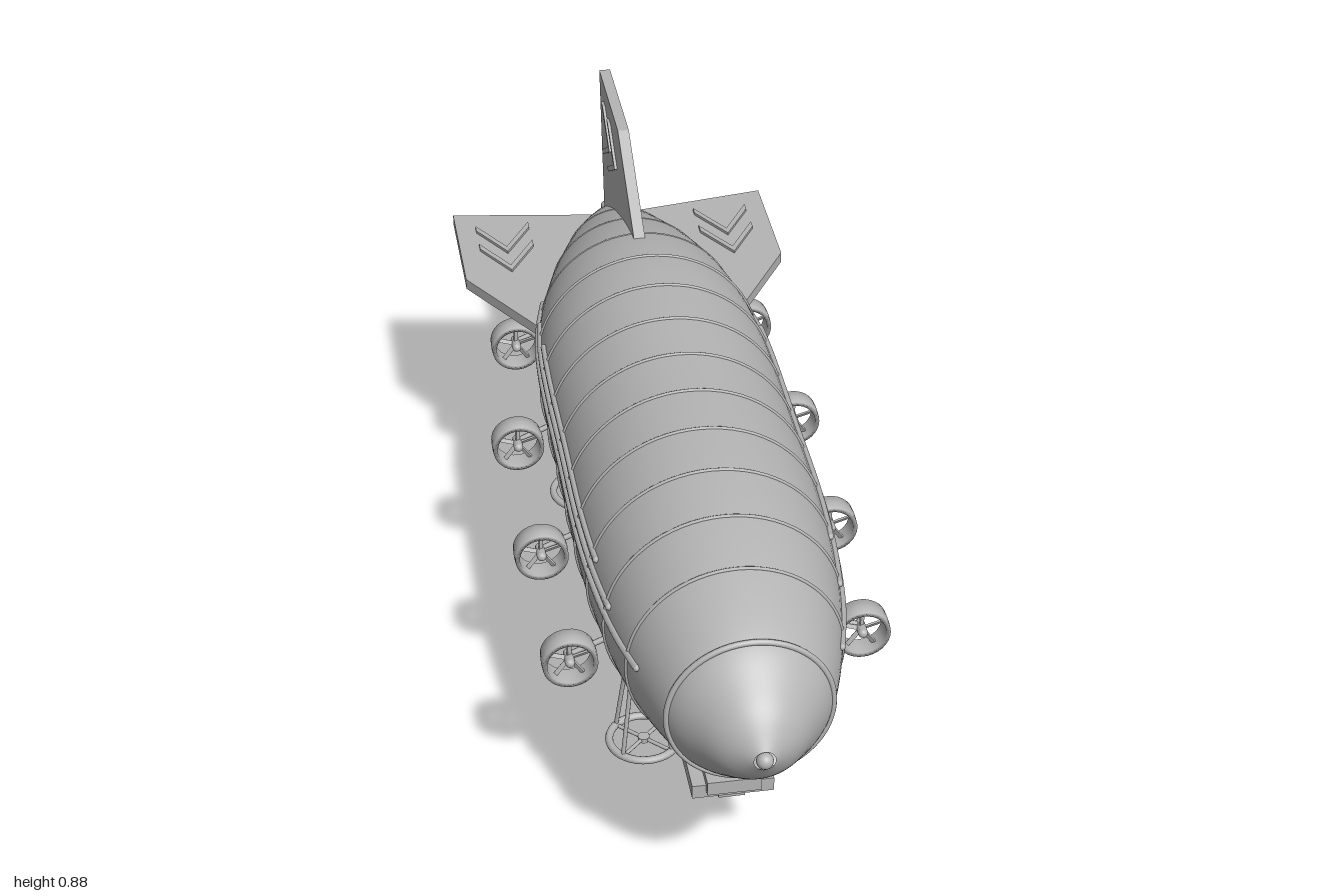
import * as THREE from 'three';

const CY = 0.518; // height of the hull axis
const grey = new THREE.MeshStandardMaterial({ color: 0xb4b4b4 });
grey.name = 'airship grey';
const V = (x, y, z) => new THREE.Vector3(x, y, z);

function add(parent, name, geo, x = 0, y = 0, z = 0) {
  const m = new THREE.Mesh(geo, grey);
  m.name = name;
  m.position.set(x, y, z);
  parent.add(m);
  return m;
}
function group(parent, name, x = 0, y = 0, z = 0) {
  const g = new THREE.Group();
  g.name = name;
  g.position.set(x, y, z);
  parent.add(g);
  return g;
}
const box = (p, name, w, h, d, x, y, z) => add(p, name, new THREE.BoxGeometry(w, h, d), x, y, z);

// Round bar between two points
function bar(parent, name, a, b, r, sides = 8) {
  const dir = b.clone().sub(a);
  const m = add(parent, name, new THREE.CylinderGeometry(r, r, dir.length(), sides));
  m.position.copy(a).add(b).multiplyScalar(0.5);
  m.quaternion.setFromUnitVectors(V(0, 1, 0), dir.normalize());
  return m;
}

// Hull profile: [z, radius] from tail to nose
const profile = new THREE.CatmullRomCurve3([
  [-0.97, 0.016], [-0.9, 0.056], [-0.8, 0.108], [-0.65, 0.169], [-0.5, 0.214], [-0.35, 0.238],
  [-0.2, 0.245], [0.05, 0.245], [0.3, 0.245], [0.45, 0.238], [0.6, 0.221], [0.72, 0.196],
  [0.84, 0.154], [0.9, 0.113], [0.945, 0.075], [0.985, 0.02],
].map(([z, r]) => V(r, z, 0))).getPoints(90);

function hullRadius(z) {
  const i = Math.max(1, profile.findIndex((p) => p.y >= z));
  const a = profile[i - 1], b = profile[i];
  return a.x + (b.x - a.x) * (z - a.y) / (b.y - a.y);
}

// Closed loft through polygon sections listed from back to front, flat shaded
function loft(sections) {
  const n = sections[0].length, pos = sections.flat(2), idx = [];
  for (let i = 0; i < sections.length - 1; i++) {
    for (let j = 0; j < n; j++) {
      const a = i * n + j, b = i * n + (j + 1) % n;
      idx.push(a, b, b + n, a, b + n, a + n);
    }
  }
  const last = (sections.length - 1) * n;
  for (let j = 1; j < n - 1; j++) idx.push(0, j + 1, j, last, last + j, last + j + 1);
  const g = new THREE.BufferGeometry();
  g.setAttribute('position', new THREE.Float32BufferAttribute(pos, 3));
  g.setIndex(idx);
  const flat = g.toNonIndexed();
  flat.computeVertexNormals();
  return flat;
}

// Flat plate in the xz plane from [x, z] points
function plate(points, thick) {
  const s = new THREE.Shape(points.map(([x, z]) => new THREE.Vector2(x, z)));
  const g = new THREE.ExtrudeGeometry(s, { depth: thick, bevelEnabled: false });
  return g.translate(0, 0, -thick / 2).rotateX(Math.PI / 2);
}

function addHull(root) {
  const hull = group(root, 'hull', 0, CY, 0);
  add(hull, 'envelope', new THREE.LatheGeometry(profile, 72).rotateX(Math.PI / 2));
  for (let i = 0; i < 12; i++) {
    const z = 0.685 - i * 0.1325;
    add(hull, 'hullBand', new THREE.TorusGeometry(hullRadius(z) - (z < -0.5 ? 0.002 : 0), 0.004, 6, 72), 0, 0, z);
  }
  add(hull, 'noseRing', new THREE.TorusGeometry(0.155, 0.006, 8, 72), 0, 0, 0.84);
  add(hull, 'noseTip', new THREE.SphereGeometry(0.016, 20, 14), 0, 0, 0.984);
  add(hull, 'tailTip', new THREE.CylinderGeometry(0.016, 0.011, 0.06, 16).rotateX(Math.PI / 2), 0, 0, -0.97);

  // Side rails that hug the envelope
  for (const side of [-1, 1]) {
    for (const [dy, z0, z1] of [[0.079, -0.3, 0.45], [0.057, -0.42, 0.57], [0.034, -0.54, 0.73]]) {
      const pts = [];
      for (let i = 0; i <= 14; i++) {
        const z = z0 + (z1 - z0) * i / 14, r = hullRadius(z) + 0.002;
        pts.push(V(side * Math.sqrt(r * r - dy * dy), dy, z));
      }
      add(hull, 'sideRail', new THREE.TubeGeometry(new THREE.CatmullRomCurve3(pts), 40, 0.007, 6));
      for (const p of [pts[0], pts[14]]) add(hull, 'railEnd', new THREE.SphereGeometry(0.007, 8, 6), p.x, p.y, p.z);
    }
  }
}

// Four tail fins with raised double chevrons
function addFins(root) {
  for (let k = 0; k < 4; k++) {
    const fin = group(root, 'tailFin', 0, CY + 0.003, 0);
    fin.rotation.z = k * Math.PI / 2;
    add(fin, 'finPlate', plate([[0.01, -0.93], [0.354, -0.982], [0.354, -0.7], [0.217, -0.476], [0.18, -0.42]], 0.024));
    for (const t of [-0.715, -0.795]) {
      add(fin, 'chevron', plate([[0.25, t], [0.19, t - 0.1], [0.19, t - 0.122], [0.25, t - 0.022],
        [0.31, t - 0.122], [0.31, t - 0.1]], 0.036));
    }
  }
}

// Ducted propeller on a strut
function addPropeller(root, x, y, z) {
  const g = group(root, 'propellerPod', x, y, z);
  const duct = [[0.045, -0.022], [0.054, -0.022], [0.055, 0], [0.054, 0.022], [0.045, 0.022], [0.045, -0.022]];
  add(g, 'duct', new THREE.LatheGeometry(duct.map(([r, h]) => new THREE.Vector2(r, h)), 32).rotateX(Math.PI / 2));
  add(g, 'hub', new THREE.CapsuleGeometry(0.01, 0.03, 4, 12).rotateX(Math.PI / 2));
  for (let k = 0; k < 5; k++) {
    const a = k * Math.PI * 0.4 + 0.3;
    const blade = box(g, 'blade', 0.042, 0.009, 0.004, Math.cos(a) * 0.026, Math.sin(a) * 0.026, 0);
    blade.rotation.set(0.5, 0, a, 'ZYX');
  }
  const inward = V(-x, CY - y, 0).normalize();
  const reach = Math.hypot(x, CY - y) - hullRadius(z) + 0.02;
  bar(g, 'podStrut', V(0, 0, -0.01), inward.multiplyScalar(reach).add(V(0, 0, -0.01)), 0.006);
}

// Landing ring: spoked hoop hung on four splayed legs
function addLandingRing(root, x, y, z, top, r) {
  const g = group(root, 'landingGear', x, y, z);
  add(g, 'landingRing', new THREE.TorusGeometry(r - 0.008, 0.008, 10, 36).rotateX(Math.PI / 2));
  add(g, 'ringHub', new THREE.CylinderGeometry(0.012, 0.012, 0.01, 12));
  for (let k = 0; k < 4; k++) {
    const a = Math.PI / 4 + k * Math.PI / 2, c = Math.cos(a), s = Math.sin(a), R = r - 0.008;
    bar(g, 'ringSpoke', V(0, 0, 0), V(c * R, 0, s * R), 0.004);
    bar(g, 'landingLeg', V(c * R, 0, s * R), V(c * 0.034, top, s * 0.034), 0.0045);
  }
}

function addGondola(root) {
  const g = group(root, 'gondola');
  const section = ([z, w, yb, yt]) => {
    const ym = yb + (yt - yb) * 0.6;
    return [[-w * 0.65, yb, z], [w * 0.65, yb, z], [w, ym, z], [w * 0.85, yt, z], [-w * 0.85, yt, z], [-w, ym, z]];
  };
  add(g, 'gondolaBody', loft([
    [-0.55, 0.02, 0.268, 0.305], [-0.42, 0.07, 0.238, 0.32], [-0.32, 0.086, 0.222, 0.325],
    [0.5, 0.086, 0.222, 0.325], [0.62, 0.07, 0.234, 0.33], [0.72, 0.035, 0.265, 0.335], [0.77, 0.008, 0.295, 0.335],
  ].map(section)));
  box(g, 'prowPost', 0.026, 0.035, 0.05, 0, 0.327, 0.755);
  add(g, 'tailPipe', new THREE.CylinderGeometry(0.018, 0.018, 0.03, 14).rotateX(Math.PI / 2), 0, 0.285, -0.55);
  for (const s of [-1, 1]) {
    for (const [x, y] of [[0.084, 0.29], [0.078, 0.264], [0.066, 0.24]]) {
      box(g, 'gondolaRail', 0.012, 0.009, 0.84, s * x, y, 0.09);
    }
    for (let i = 0; i < 16; i++) box(g, 'porthole', 0.008, 0.01, 0.016, s * 0.08, 0.277, -0.29 + i * 0.05);
  }

  // Stepped cabin beneath the bow
  box(g, 'cabinTop', 0.106, 0.03, 0.21, 0, 0.212, 0.595);
  box(g, 'cabinMiddle', 0.16, 0.03, 0.17, 0, 0.195, 0.6);
  box(g, 'cabinBottom', 0.052, 0.025, 0.1, 0, 0.174, 0.62);

  // Slanted bay panels
  box(g, 'bayFrame', 0.15, 0.022, 0.4, 0, 0.212, -0.035);
  for (const s of [-1, 1]) {
    const panel = box(g, 'bayPanel', 0.009, 0.09, 0.37, s * 0.055, 0.181, -0.035);
    panel.rotation.z = -s * 0.464;
  }
}

// Small propeller craft hung from the boom
function addCraft(root, x, z) {
  const g = group(root, 'hangingCraft', x, 0.032, z);
  add(g, 'craftBody', new THREE.SphereGeometry(0.017, 18, 12).scale(1, 1, 2.9));
  box(g, 'craftWing', 0.072, 0.003, 0.022, 0, 0, 0.005);
  box(g, 'craftTail', 0.003, 0.024, 0.012, 0, -0.012, -0.043);
  box(g, 'craftFoot', 0.032, 0.006, 0.03, 0, -0.029, -0.04);
  for (const s of [-1, 1]) bar(g, 'footStrut', V(s * 0.006, -0.008, -0.03), V(s * 0.013, -0.028, -0.04), 0.002, 6);
  bar(g, 'hanger', V(0, 0.012, 0), V(0, 0.04, 0), 0.003, 6);
}

function addBoom(root) {
  const g = group(root, 'dockingBoom');
  box(g, 'boom', 0.016, 0.012, 0.55, 0, 0.073, -0.025);
  for (const z of [0.03, -0.17]) {
    for (const s of [-1, 1]) bar(g, 'boomStrut', V(s * 0.055, 0.185, z), V(0, 0.073, z), 0.006);
  }
  for (const [x, z] of [[0.087, -0.055], [-0.087, -0.13]]) {
    bar(g, 'boomArm', V(0, 0.07, z), V(x, 0.068, z), 0.004);
    addCraft(g, x, z);
  }
  addCraft(g, 0, 0.12);
  addCraft(g, 0, -0.23);
}

export function createModel() {
  const root = new THREE.Group();
  root.name = 'airship';
  addHull(root);
  addFins(root);
  addGondola(root);
  addBoom(root);
  for (const s of [-1, 1]) {
    for (const [x, y, z] of [[0.287, 0.394, 0.485], [0.297, 0.388, 0.13], [0.297, 0.388, -0.26], [0.258, 0.412, -0.61]]) {
      addPropeller(root, s * x, y, z);
    }
    for (const z of [0.437, -0.422]) addLandingRing(root, s * 0.136, 0.133, z, 0.21, 0.077);
  }
  addLandingRing(root, 0, 0.243, -0.7, 0.14, 0.078);
  return root;
}
